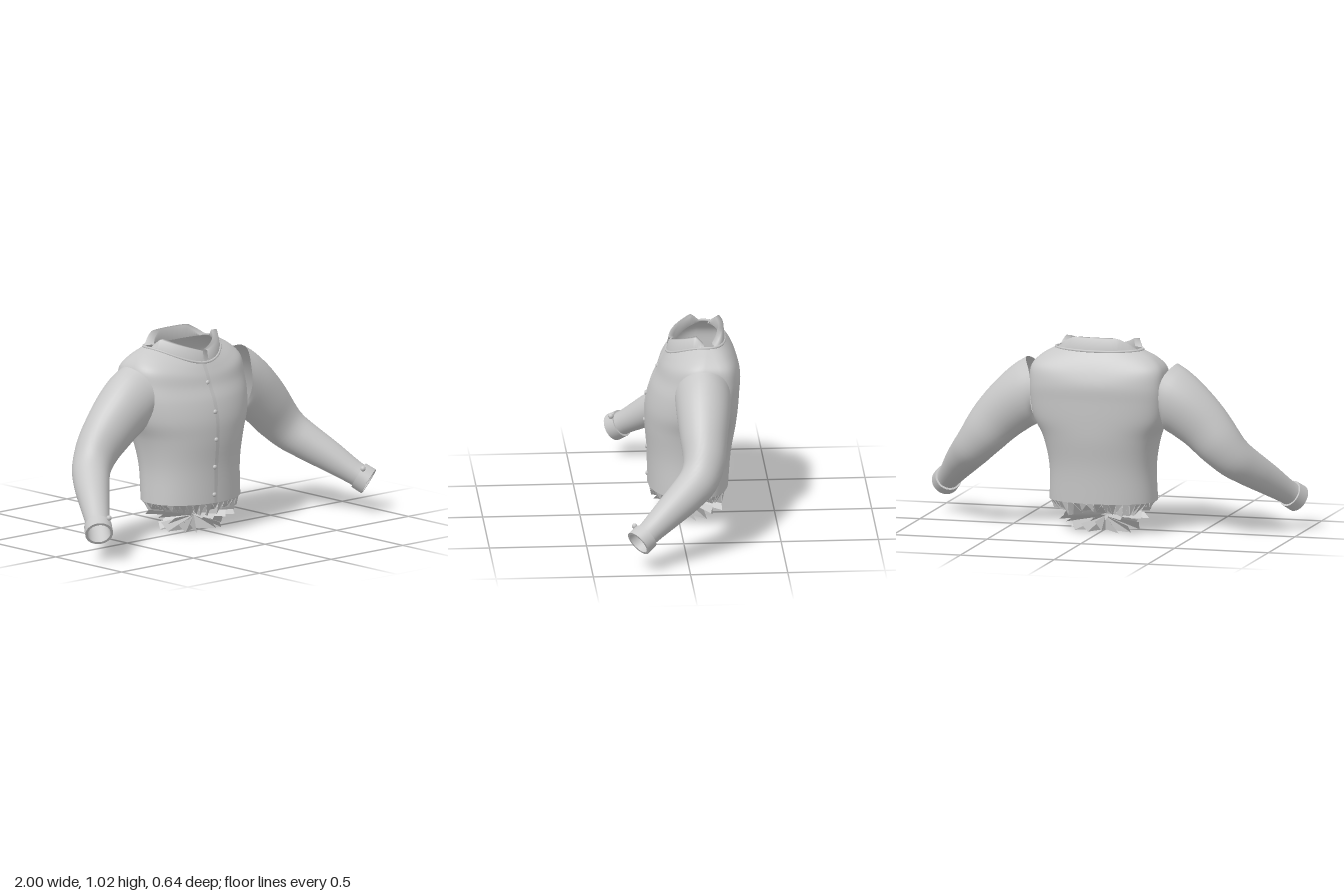
import * as THREE from 'three';

const V = (x, y, z) => new THREE.Vector3(x, y, z);
const mix = THREE.MathUtils.lerp;
const TAU = Math.PI * 2;

// Surface from a function fn(row 0..1, column 0..1) -> Vector3
function grid(rows, cols, fn, closed = false) {
  const pos = [], idx = [], n = closed ? cols : cols + 1;
  for (let i = 0; i <= rows; i++)
    for (let j = 0; j < n; j++) pos.push(...fn(i / rows, j / cols).toArray());
  for (let i = 0; i < rows; i++)
    for (let j = 0; j < cols; j++) {
      const a = i * n + j, b = i * n + (j + 1) % n;
      idx.push(a, b, b + n, a, b + n, a + n);
    }
  const g = new THREE.BufferGeometry();
  g.setAttribute('position', new THREE.Float32BufferAttribute(pos, 3));
  g.setIndex(idx);
  g.computeVertexNormals();
  return g;
}

// Torso rings: front y, side y, back y, half width, front z, back z, middle z, front power, back power
const RINGS = [
  [0.165, 0.165, 0.165, 0.28, 0.15, -0.26, -0.06, 0.95, 0.75],
  [0.35, 0.35, 0.35, 0.275, 0.153, -0.275, -0.07, 0.9, 0.65],
  [0.5, 0.5, 0.5, 0.302, 0.165, -0.30, -0.08, 0.9, 0.55],
  [0.6, 0.6, 0.6, 0.343, 0.163, -0.31, -0.1, 0.9, 0.45],
  [0.7, 0.7, 0.7, 0.355, 0.14, -0.316, -0.1, 0.9, 0.36],
  [0.77, 0.785, 0.78, 0.356, 0.108, -0.32, -0.11, 0.9, 0.34],
  [0.82, 0.87, 0.84, 0.348, 0.09, -0.306, -0.12, 0.95, 0.36],
  [0.855, 0.922, 0.9, 0.302, 0.073, -0.28, -0.13, 1.15, 0.5],
  [0.885, 0.963, 0.957, 0.23, 0.057, -0.243, -0.14, 1.35, 0.75],
];
function ringPoint([yf, ys, yb, w, zf, zb, zm, pf, pb], a) {
  const c = Math.cos(a), k = Math.abs(c) < 1e-6 ? 0 : Math.abs(c);
  const y = mix(ys, c > 0 ? yf : yb, k ** 2.5);
  const z = c > 0 ? zm + (zf - zm) * k ** pf : zm + (zb - zm) * k ** pb;
  return V(w * Math.sin(a), y, z);
}
function torsoPoint(t, a) {
  return new THREE.CatmullRomCurve3(RINGS.map(r => ringPoint(r, a))).getPoint(t);
}
const neckPoint = a => ringPoint(RINGS[RINGS.length - 1], a);

// Sleeve rings: centre, axis direction, upward radius, sideways radius, outward pull of the top
const SLEEVE = [
  [V(0.342, 0.735, -0.108), V(1, 0, 0), 0.157, 0.143, 0.058],
  [V(0.39, 0.703, -0.108), V(0.95, -0.3, 0), 0.16, 0.141, 0.02],
  [V(0.46, 0.655, -0.105), V(0.85, -0.5, 0), 0.153, 0.134, 0],
  [V(0.55, 0.57, -0.10), V(0.7, -0.7, 0), 0.136, 0.12, 0],
  [V(0.63, 0.48, -0.095), V(0.65, -0.7, 0.15), 0.12, 0.108, 0],
  [V(0.695, 0.405, -0.062), V(0.6, -0.6, 0.45), 0.105, 0.1, 0],
  [V(0.753, 0.347, 0.005), V(0.5, -0.5, 0.7), 0.094, 0.092, 0],
  [V(0.823, 0.277, 0.10), V(0.5, -0.5, 0.71), 0.08, 0.078, 0],
  [V(0.893, 0.202, 0.20), V(0.5, -0.5, 0.71), 0.063, 0.063, 0],
  [V(0.915, 0.18, 0.23), V(0.5, -0.5, 0.71), 0.061, 0.061, 0],
];
// side is +1 for the left arm, -1 for the right; the angle runs backwards when mirrored
function sleevePoint([centre, dir, ru, rv, pull], angle, side) {
  const a = side * angle;
  const n = dir.clone().normalize();
  const h = n.clone().cross(V(0, 1, 0)).normalize();
  const u = h.clone().cross(n);
  const p = centre.clone().addScaledVector(h, rv * Math.sin(a)).addScaledVector(u, ru * Math.cos(a));
  p.x = side * (p.x + pull * Math.max(0, Math.cos(a)) ** 3);
  return p;
}

export function createModel() {
  const model = new THREE.Group();
  model.name = 'shirt';
  const cloth = new THREE.MeshStandardMaterial({ color: 0xc8c8c8, side: THREE.DoubleSide });
  cloth.name = 'pale grey cloth';
  const add = (name, geometry) => {
    const m = new THREE.Mesh(geometry, cloth);
    m.name = name;
    model.add(m);
    return m;
  };

  // Body, open at neck and hem
  add('torso', grid(44, 72, (t, u) => torsoPoint(t, u * TAU), true));

  // Overlapping front edge, raised on one side and sinking into the body on the other
  add('placket', grid(36, 4, (t, u) => {
    const p = torsoPoint(t * 0.98, 0);
    p.x = mix(-0.034, 0.03, u);
    p.z += mix(0.003, -0.005, u);
    return p;
  }));

  // Front buttons
  [[0.79, 0.1], [0.645, 0.158], [0.5, 0.166], [0.355, 0.155], [0.21, 0.152]].forEach(([y, z]) => {
    const b = add('frontButton', new THREE.SphereGeometry(0.012, 12, 8));
    b.position.set(-0.032, y, z);
    b.scale.z = 0.75;
  });

  // Neck seam
  const seam = [];
  for (let i = 0; i < 40; i++) seam.push(neckPoint(i / 40 * TAU));
  add('neckSeam', new THREE.TubeGeometry(new THREE.CatmullRomCurve3(seam, true), 80, 0.007, 6, true));

  // Standing collar pieces: rows run up the outside, over the top and down the inside
  function collar(name, from, to, thick, topY) {
    add(name, grid(3, 24, (t, u) => {
      const p = neckPoint(mix(from, to, u));
      const row = Math.round(t * 3), top = row === 1 || row === 2;
      const k = (top ? 0.94 : 1) - (row > 1 ? thick : 0);
      const y = top ? Math.max(topY(u), p.y + 0.004) : p.y;
      return V(p.x * k, y, -0.13 + (p.z + 0.13) * k);
    }));
  }
  const wing = u => u < 0.8 ? mix(0.945, 1.01, u / 0.8) : mix(1.01, 0.972, (u - 0.8) / 0.2);
  collar('leftCollarWing', 0.07, 1.4, 0.14, wing);
  collar('rightCollarWing', -1.4, -0.07, 0.14, u => wing(1 - u));
  collar('backCollar', 1.85, TAU - 1.85, 0.22, u => 0.965 + 0.06 * Math.min(1, 3.8 * Math.min(u, 1 - u)));

  for (const side of [1, -1]) {
    const label = side > 0 ? 'left' : 'right';

    // Bent sleeve with a pointed shoulder
    add(label + 'Sleeve', grid(36, 32, (t, u) =>
      new THREE.CatmullRomCurve3(SLEEVE.map(r => sleevePoint(r, u * TAU, side))).getPoint(t), true));

    // Cuff with a hollow end: distance along the axis, radius
    const axis = V(0.5, -0.5, 0.71).normalize();
    const profile = [[0, 0.06], [0, 0.071], [0.06, 0.072], [0.06, 0.059], [-0.03, 0.055]];
    for (let k = 0; k < profile.length - 1; k++)
      add(label + 'Cuff', grid(1, 32, (t, u) => {
        const [d, r] = profile[k + t];
        return sleevePoint([V(0.91, 0.185, 0.222).addScaledVector(axis, d), axis, r, r, 0], u * TAU, side);
      }, true));
    const b = add(label + 'CuffButton', new THREE.SphereGeometry(0.014, 12, 8));
    b.position.set(side * 0.886, 0.232, 0.28);
  }

  // Torn lining under the hem: loose triangles made with a seeded generator
  let seed = 7;
  const rnd = () => (seed = (seed * 16807) % 2147483647) / 2147483647;
  const tris = [];
  const tri = (...pts) => pts.forEach(p => tris.push(p.x, p.y, p.z));
  const hem = (a, k, y) => {
    const p = ringPoint(RINGS[0], a);
    return V(p.x * k, y, -0.06 + (p.z + 0.06) * k);
  };
  const hub = y => V(0, y, -0.04);
  const N = 44;
  for (let i = 0; i < N; i++) {
    const a = i / N * TAU, b = (i + 1) / N * TAU;
    const tip = hem(mix(a, b, rnd()), 0.74 + 0.2 * rnd(), 0.09 + 0.04 * rnd());
    const y = 0.075 + 0.035 * rnd();
    // hanging teeth, then folds running to the middle
    tri(hem(b, 0.99, 0.166), hem(a, 0.99, 0.166), tip);
    tri(hem(a, 0.97, 0.16), tip, hub(y));
    tri(tip, hem(b, 0.97, 0.16), hub(y));
    // spikes spreading from the middle
    if (i % 3 === 0) {
      const k = 0.65 + 0.3 * rnd(), low = 0.055 + 0.035 * rnd();
      tri(hub(0.07), hem(a - 0.07, k, low), hem(a + 0.09, k * 0.92, low + 0.03));
    }
  }
  // lowest scraps: slanted blades around the middle
  for (let i = 0; i < 12; i++) {
    const a = (i + 0.3 * rnd()) / 12 * TAU, k = 0.62 + 0.1 * rnd() + 0.06 * Math.cos(a);
    const p = hem(a - 0.12, k, 0.035 + 0.03 * rnd()), r = hem(a + 0.1, k * 0.95, 0.002 + 0.012 * rnd());
    tri(hub(0.07), hub(0), r);
    tri(hub(0.07), r, p);
  }
  const lining = new THREE.BufferGeometry();
  lining.setAttribute('position', new THREE.Float32BufferAttribute(tris, 3));
  lining.computeVertexNormals();
  add('tornLining', lining);

  return model;
}
